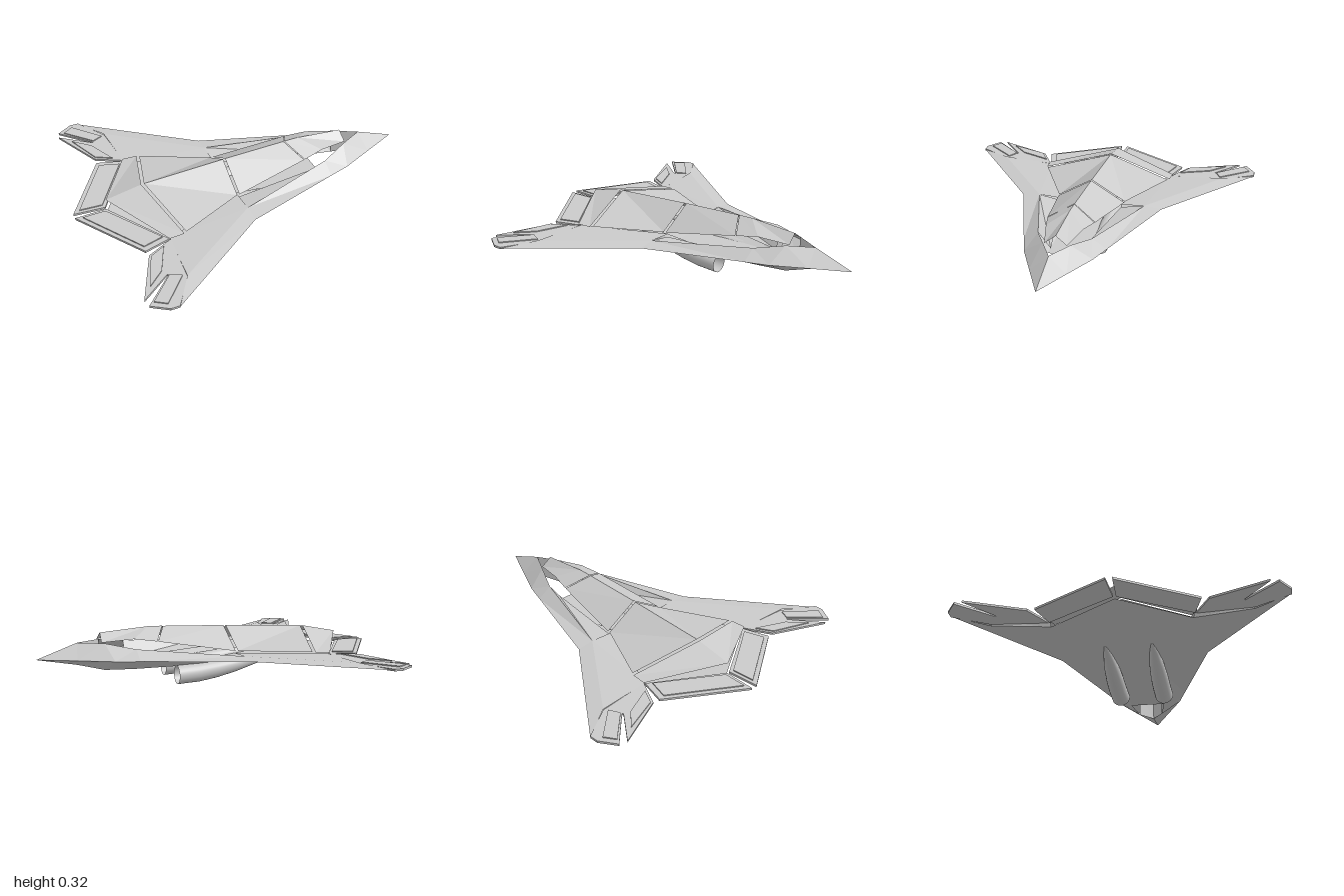
import * as THREE from 'three';

const flat = new THREE.MeshStandardMaterial({ color: 0xcccccc, flatShading: true, side: THREE.DoubleSide });
const smooth = new THREE.MeshStandardMaterial({ color: 0xcccccc, side: THREE.DoubleSide });

// Surface through rows of [x, y, z] points; side = 1 or -1 mirrors it across z
function sheet(name, rows, side = 1, material = flat) {
  const n = rows[0].length, index = [];
  const pos = rows.flat().flatMap(([x, y, z]) => [x, y, z * side]);
  for (let r = 0; r < rows.length - 1; r++) {
    for (let c = 0; c < n - 1; c++) {
      const a = r * n + c, b = a + 1, d = a + n, e = d + 1;
      if (side > 0) index.push(a, d, b, b, d, e);
      else index.push(a, b, d, b, e, d);
    }
  }
  const g = new THREE.BufferGeometry();
  g.setAttribute('position', new THREE.Float32BufferAttribute(pos, 3));
  g.setIndex(index);
  g.computeVertexNormals();
  const mesh = new THREE.Mesh(g, material);
  mesh.name = name;
  return mesh;
}

// Thin horizontal plate from an [x, z] outline
function plate(name, outline, y, depth, side) {
  const shape = new THREE.Shape(outline.map(([x, z]) => new THREE.Vector2(x, -z * side)));
  const g = new THREE.ExtrudeGeometry(shape, { depth, bevelEnabled: false });
  g.rotateX(-Math.PI / 2).translate(0, y, 0);
  const mesh = new THREE.Mesh(g, flat);
  mesh.name = name;
  return mesh;
}

// Control surface with a raised inset panel
function flap(name, outline, inset, side) {
  const group = new THREE.Group();
  group.name = name;
  group.add(plate(name + 'Plate', outline, 0.16, 0.012, side));
  group.add(plate(name + 'Inset', inset, 0.172, 0.006, side));
  return group;
}

// Underslung pod: rings shrinking and rising toward the rear
function pod(side) {
  const stations = [[0.23, 0.055, 0.053], [0.1, 0.06, 0.052], [0, 0.073, 0.05],
    [-0.12, 0.092, 0.042], [-0.25, 0.114, 0.025], [-0.36, 0.125, 0.003]];
  const rows = stations.map(([x, y, r]) => Array.from({ length: 25 }, (_, i) => {
    const a = i / 24 * Math.PI * 2;
    return [x, y + r * Math.cos(a), 0.13 + r * Math.sin(a)];
  }));
  return sheet('enginePod', rows, side, smooth);
}

export function createModel() {
  const model = new THREE.Group();
  model.name = 'aircraft';

  for (const side of [1, -1]) {
    const half = new THREE.Group();
    half.name = side > 0 ? 'halfPositiveZ' : 'halfNegativeZ';
    const add = (name, rows) => half.add(sheet(name, rows, side));

    // Forward hull: upper flank from the inner rim out to the chine
    const rim = [[1, 0.168, 0], [0.77, 0.25, 0], [0.63, 0.25, 0.075], [0.47, 0.22, 0.15], [-0.1, 0.175, 0.32]];
    const chine = [[1, 0.168, 0], [0.79, 0.168, 0.1], [0.6, 0.167, 0.19], [0.47, 0.167, 0.233], [-0.1, 0.163, 0.42]];
    add('upperFlank', rim.map((p, i) => [p, chine[i]]));

    // Nose underside, open along the centre behind the nose
    const keel = [[1, 0.168, 0], [0.77, 0.125, 0], [0.63, 0.1, 0.07], [0.47, 0.1, 0.1]];
    add('noseUnderside', keel.map((p, i) => [chine[i], p]));
    add('noseInnerWall', [[rim[1], keel[1]], [rim[2], keel[2]]]);

    // Sloping channels beside the cockpit
    add('channelFloor', [
      [[0.47, 0.22, 0.15], [0.47, 0.13, 0.08]],
      [[-0.1, 0.175, 0.32], [-0.1, 0.15, 0.18]],
    ]);

    // Belly from behind the opening to the tail hinge and wing
    add('belly', [
      [[0.47, 0.1, 0], [0.47, 0.1, 0.1], [0.47, 0.167, 0.233]],
      [[-0.1, 0.1, 0], [-0.1, 0.1, 0.11], [-0.1, 0.163, 0.42]],
      [[-0.81, 0.155, 0], [-0.58, 0.138, 0.38], [-0.61, 0.152, 0.7]],
    ]);
    add('wingUnderside', [
      [[-0.1, 0.163, 0.42], [-0.1, 0.163, 0.42]],
      [[-0.61, 0.152, 0.7], [-0.72, 0.165, 0.89]],
    ]);

    // Wing top: deck and sloped leading strip
    add('wingTop', [
      [[-0.1, 0.165, 0.17], [-0.1, 0.175, 0.32], [-0.1, 0.163, 0.42]],
      [[-0.585, 0.17, 0.385], [-0.61, 0.178, 0.705], [-0.72, 0.165, 0.89]],
    ]);
    add('wingTrailingEdge', [
      [[-0.585, 0.17, 0.385], [-0.58, 0.138, 0.38]],
      [[-0.61, 0.178, 0.705], [-0.61, 0.152, 0.7]],
    ]);

    // Upper shell, three panels separated by narrow seams
    add('tailShell', [
      [[-0.607, 0.27, 0], [-0.505, 0.182, 0.395]],
      [[-0.815, 0.228, 0], [-0.59, 0.18, 0.4]],
    ]);
    add('spineShell', [
      [[-0.112, 0.3, 0], [-0.112, 0.183, 0.2]],
      [[-0.59, 0.272, 0], [-0.49, 0.184, 0.385]],
    ]);
    add('cockpitShell', [
      [[0.27, 0.317, 0], [0.34, 0.253, 0.135]],
      [[-0.098, 0.301, 0], [-0.098, 0.183, 0.2]],
    ]);
    add('canopy', [
      [[0.64, 0.3, 0], [0.645, 0.253, 0.062]],
      [[0.36, 0.32, 0], [0.47, 0.27, 0.105]],
      [[0.275, 0.318, 0], [0.345, 0.254, 0.134]],
    ]);

    // Side vents ahead of the pods
    add('sideVent', [
      [[0.37, 0.16, 0.165], [0.37, 0.11, 0.12]],
      [[0.48, 0.16, 0.155], [0.48, 0.11, 0.11]],
    ]);

    // Tail, wing and tip control surfaces
    half.add(flap('tailFlap',
      [[-0.82, 0.008], [-1, 0.018], [-0.74, 0.435], [-0.59, 0.39]],
      [[-0.83, 0.03], [-0.96, 0.035], [-0.735, 0.4], [-0.62, 0.365]], side));
    half.add(flap('wingFlap',
      [[-0.585, 0.395], [-0.735, 0.475], [-0.87, 0.785], [-0.7, 0.65], [-0.61, 0.705]],
      [[-0.64, 0.44], [-0.73, 0.49], [-0.81, 0.705], [-0.715, 0.615]], side));
    half.add(flap('tipFlap',
      [[-0.61, 0.705], [-0.69, 0.65], [-0.86, 0.83], [-0.77, 0.89], [-0.72, 0.89]],
      [[-0.63, 0.69], [-0.69, 0.66], [-0.83, 0.815], [-0.77, 0.855]], side));

    half.add(pod(side));
    model.add(half);
  }
  return model;
}
